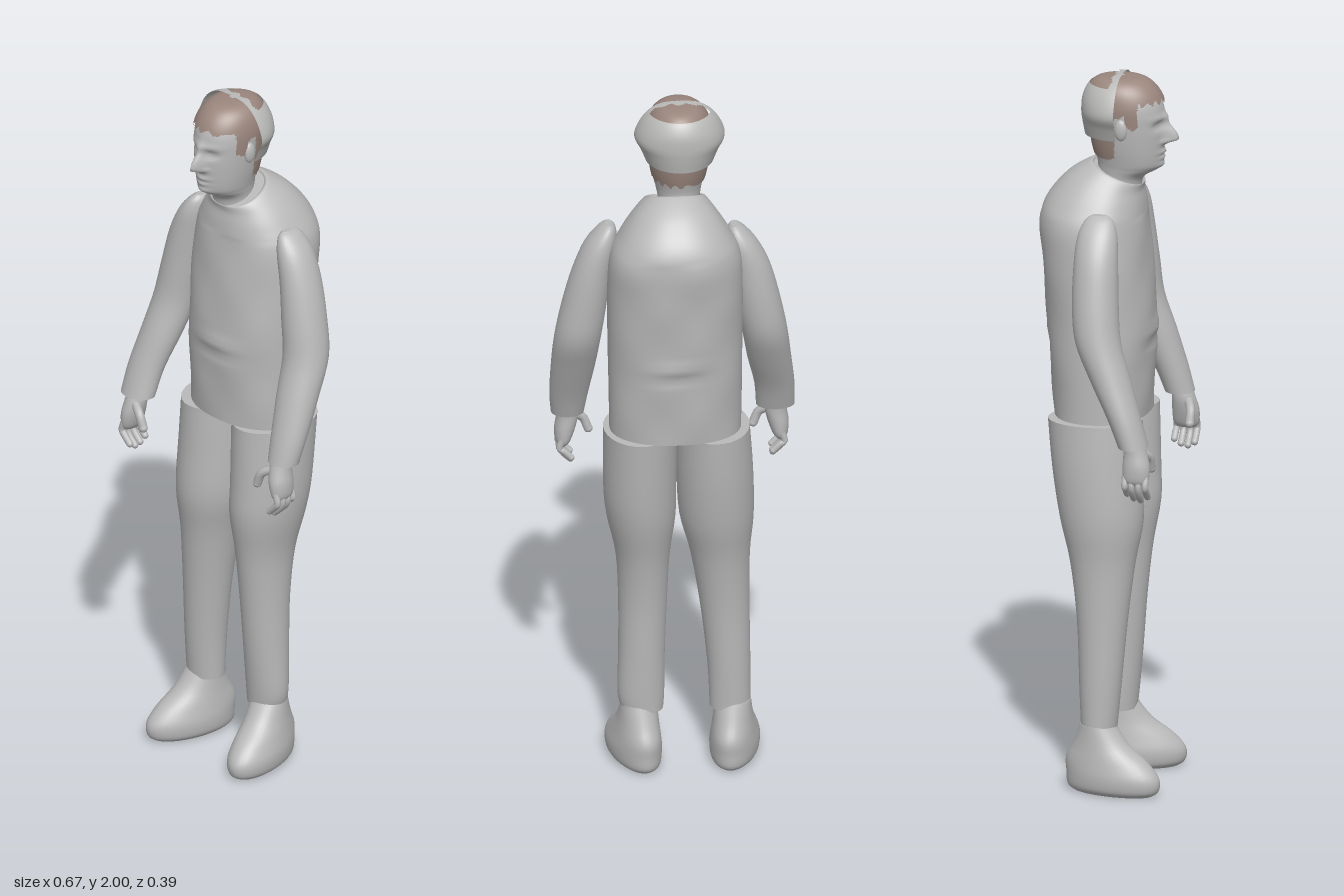
import * as THREE from 'three';
import { mergeGeometries } from 'three/addons/utils/BufferGeometryUtils.js';

const mat = (name, color, side = THREE.FrontSide) => {
  const m = new THREE.MeshStandardMaterial({ color, side });
  m.name = name;
  return m;
};

// Smooth value of ring column k at position t along the rings
function spline(rings, t, k) {
  const n = rings.length - 1, i = Math.min(Math.floor(t), n - 1), f = t - i;
  const g = (q) => rings[Math.max(0, Math.min(n, q))][k] || 0;
  const p0 = g(i - 1), p1 = g(i), p2 = g(i + 1), p3 = g(i + 2);
  return p1 + 0.5 * f * (p2 - p0 + f * (2 * p0 - 5 * p1 + 4 * p2 - p3 + f * (3 * (p1 - p2) + p3 - p0)));
}

// Skin over horizontal rings, bottom to top: [x, y, z, radiusX, radiusZ, forwardTilt]
function loft(rings, { seg = 32, sub = 4, from = 0, arc = Math.PI * 2, pow = 1, rule, keep, caps = true } = {}) {
  const closed = arc > 6.28, cols = closed ? seg : seg + 1, rows = (rings.length - 1) * sub;
  const pos = [], idx = [];
  const soft = (v) => Math.sign(v) * Math.abs(v) ** pow;
  for (let i = 0; i <= rows; i++) {
    const [x, y, z, rx, rz, tilt] = [0, 1, 2, 3, 4, 5].map((k) => spline(rings, i / sub, k));
    for (let j = 0; j < cols; j++) {
      const a = from + (arc * j) / seg, s = soft(Math.sin(a)), c = soft(Math.cos(a));
      const p = new THREE.Vector3(x + rx * s, y + tilt * c, z + rz * c);
      if (rule) rule(p);
      pos.push(p.x, p.y, p.z);
    }
  }
  const at = (v) => new THREE.Vector3(pos[v * 3], pos[v * 3 + 1], pos[v * 3 + 2]);
  const tri = (a, b, c) => {
    if (!keep || keep(at(a).add(at(b)).add(at(c)).divideScalar(3))) idx.push(a, b, c);
  };
  for (let i = 0; i < rows; i++) {
    for (let j = 0; j < seg; j++) {
      const a = i * cols + j, b = i * cols + ((j + 1) % cols);
      tri(a, b, b + cols);
      tri(a, b + cols, a + cols);
    }
  }
  // Flat ends with their own vertices, so the rim stays sharp
  if (caps && closed) {
    for (const row of [0, rows]) {
      const base = pos.length / 3, mid = new THREE.Vector3();
      for (let j = 0; j < seg; j++) {
        const p = at(row * cols + j);
        mid.addScaledVector(p, 1 / seg);
        pos.push(p.x, p.y, p.z);
      }
      pos.push(mid.x, mid.y, mid.z);
      for (let j = 0; j < seg; j++) {
        const a = base + j, b = base + ((j + 1) % seg);
        row ? idx.push(a, b, base + seg) : idx.push(b, a, base + seg);
      }
    }
  }
  const g = new THREE.BufferGeometry();
  g.setAttribute('position', new THREE.Float32BufferAttribute(pos, 3));
  g.setIndex(idx);
  g.computeVertexNormals();
  return g;
}

const ball = (x, y, z, rx, ry, rz) => new THREE.SphereGeometry(1, 24, 16).scale(rx, ry, rz).translate(x, y, z);

// Round-ended finger along a few points
function finger(points, r) {
  const pts = points.map((p) => new THREE.Vector3(...p)), end = pts[pts.length - 1];
  return mergeGeometries([
    new THREE.TubeGeometry(new THREE.CatmullRomCurve3(pts), 10, r, 10),
    ball(end.x, end.y, end.z, r, r, r),
  ]);
}

// Soft bump used to shape the face and the cloth
const bump = (u, v, w, h) => Math.exp(-((u / w) ** 2) - (v / h) ** 2);

export function createModel() {
  const model = new THREE.Group();
  model.name = 'standingMan';
  const grey = mat('plain grey', 0xb9b9b9);
  const greyShell = mat('grey shell', 0xb9b9b8, THREE.DoubleSide);
  const brown = mat('hair brown', 0x9a867d, THREE.DoubleSide);
  const add = (name, geometry, material = grey, parent = model) => {
    const m = new THREE.Mesh(geometry, material);
    m.name = name;
    parent.add(m);
    return m;
  };

  // Shirt body with a few cloth folds
  add('torso', loft([
    [0.002, 1.04, -0.02, 0.18, 0.13], [0.002, 1.16, -0.022, 0.182, 0.138],
    [0.003, 1.3, -0.025, 0.184, 0.146], [0.004, 1.48, -0.038, 0.185, 0.147],
    [0.004, 1.58, -0.046, 0.178, 0.146], [0.004, 1.64, -0.04, 0.15, 0.135, -0.005],
    [0.003, 1.69, -0.015, 0.115, 0.105, -0.02], [0, 1.72, 0.018, 0.082, 0.075, -0.03],
    [-0.002, 1.715, 0.02, 0.07, 0.065, -0.03],
  ], {
    seg: 72, sub: 8, pow: 0.9,
    rule: (p) => {
      const out = Math.sign(p.z + 0.03), fade = p.y < 1.6 ? 1 : 0;
      p.z += out * fade * (0.008 * bump(p.x - 0.01, p.y - 1.275, 0.07, 0.014) - 0.006 * bump(p.x - 0.01, p.y - 1.245, 0.07, 0.012)
        + 0.002 * Math.sin(p.x * 32) * Math.sin(p.y * 27));
    },
  }));

  // Trouser legs
  add('rightLeg', loft([
    [-0.15, 0.17, 0.002, 0.056, 0.049], [-0.147, 0.3, 0.005, 0.059, 0.058],
    [-0.136, 0.48, 0.008, 0.068, 0.07], [-0.123, 0.64, 0.006, 0.082, 0.09],
    [-0.113, 0.76, 0.001, 0.102, 0.115], [-0.107, 0.9, -0.012, 0.105, 0.125],
    [-0.102, 1.04, -0.02, 0.1, 0.131],
  ]));
  add('leftLeg', loft([
    [0.09, 0.17, 0.002, 0.057, 0.049], [0.094, 0.22, 0.003, 0.064, 0.053], [0.092, 0.35, 0.006, 0.064, 0.062],
    [0.089, 0.5, 0.008, 0.067, 0.072], [0.089, 0.64, 0.006, 0.074, 0.09],
    [0.094, 0.76, 0.001, 0.094, 0.115], [0.098, 0.86, -0.008, 0.1, 0.123],
    [0.098, 1.04, -0.02, 0.101, 0.131],
  ]));

  // Shoes, toes turned slightly out
  for (const [name, x, yaw] of [['rightShoe', -0.157, -0.2], ['leftShoe', 0.1, 0.26]]) {
    const shoe = add(name, loft([
      [0, 0, 0.045, 0.05, 0.115], [0, 0.015, 0.046, 0.064, 0.134], [0, 0.05, 0.045, 0.068, 0.136],
      [0, 0.09, 0.028, 0.062, 0.12], [0, 0.135, 0.01, 0.055, 0.08], [0, 0.19, 0, 0.05, 0.047],
    ]));
    shoe.position.x = x;
    shoe.rotation.y = yaw;
  }

  // Sleeves
  add('leftArm', loft([
    [0.286, 1.02, 0.125, 0.045, 0.041], [0.284, 1.09, 0.102, 0.053, 0.046],
    [0.275, 1.2, 0.06, 0.061, 0.056], [0.266, 1.3, 0.022, 0.064, 0.063],
    [0.25, 1.4, 0.012, 0.062, 0.064], [0.229, 1.51, 0.006, 0.054, 0.061],
    [0.206, 1.59, 0.005, 0.044, 0.055], [0.188, 1.635, 0.006, 0.026, 0.04], [0.182, 1.65, 0.006, 0.01, 0.022],
  ]));
  add('rightArm', loft([
    [-0.284, 1.02, 0.13, 0.053, 0.041], [-0.279, 1.1, 0.102, 0.055, 0.046],
    [-0.262, 1.2, 0.06, 0.06, 0.056], [-0.247, 1.3, 0.022, 0.062, 0.063],
    [-0.228, 1.4, 0.01, 0.062, 0.064], [-0.205, 1.51, 0.006, 0.056, 0.061],
    [-0.183, 1.58, 0.005, 0.044, 0.055], [-0.168, 1.62, 0.006, 0.026, 0.04], [-0.162, 1.635, 0.006, 0.01, 0.022],
  ]));

  // Hands: palm, four curled fingers and a thumb
  for (const [side, s] of [['left', 1], ['right', -1]]) {
    const hand = new THREE.Group();
    hand.name = side + 'Hand';
    model.add(hand);
    add('palm', loft([
      [s * 0.298, 0.915, 0.14, 0.012, 0.026], [s * 0.297, 0.93, 0.14, 0.022, 0.036],
      [s * 0.292, 0.965, 0.14, 0.029, 0.038], [s * 0.286, 1.0, 0.136, 0.03, 0.033],
      [s * 0.286, 1.03, 0.13, 0.028, 0.028],
    ], { seg: 20 }), grey, hand);
    for (let i = 0; i < 4; i++) {
      const z = 0.111 + i * 0.019, low = 0.872 + [0.012, 0, -0.004, 0.006][i];
      add('finger', finger([[s * 0.3, 0.94, z], [s * 0.308, 0.91, z], [s * 0.298, low + 0.02, z], [s * 0.277, low, z]], 0.0095), grey, hand);
    }
    add('thumb', finger([[s * 0.275, 1.0, 0.15], [s * 0.242, 0.98, 0.165], [s * 0.226, 0.945, 0.166]], 0.0125), grey, hand);
  }

  // Head, with the features raised by a rule
  const hx = -0.012;
  const skull = (grow) => [
    [hx, 1.64, 0.025, 0.058, 0.06], [hx, 1.705, 0.032, 0.057, 0.06], [hx, 1.735, 0.05, 0.062, 0.082],
    [hx, 1.755, 0.056, 0.067, 0.09], [hx, 1.8, 0.053, 0.076, 0.098], [hx, 1.86, 0.049, 0.083, 0.103],
    [hx, 1.915, 0.043, 0.084, 0.105], [hx, 1.958, 0.036, 0.072, 0.09],
    [hx, 1.984, 0.032, 0.045, 0.058], [hx, 1.99, 0.03, 0.004, 0.005],
  ].map(([x, y, z, a, b]) => [x, y + grow * 0.8, z, a + grow, b + grow]);
  const face = (p) => {
    if (p.z < 0.06) return;
    const u = p.x - hx, y = p.y;
    const nose = y > 1.822 ? bump(u, y - 1.822, 0.013, 0.045) : bump(u, y - 1.822, 0.017, 0.011);
    p.z += 0.042 * nose
      + 0.007 * bump(u, y - 1.785, 0.024, 0.007) + 0.006 * bump(u, y - 1.77, 0.02, 0.006)
      - 0.005 * bump(u, y - 1.778, 0.026, 0.003) + 0.008 * bump(u, y - 1.748, 0.024, 0.012)
      + 0.006 * bump(u, y - 1.885, 0.05, 0.01);
    for (const s of [-1, 1]) {
      p.z -= 0.011 * bump(u - s * 0.031, y - 1.863, 0.017, 0.011);
      p.z += 0.005 * bump(u - s * 0.031, y - 1.863, 0.01, 0.005);
    }
  };
  add('head', loft(skull(0), { seg: 96, sub: 10, rule: face }));
  for (const s of [-1, 1]) add('ear', ball(hx + s * 0.086, 1.86, 0.05, 0.011, 0.03, 0.018).rotateY(0));

  // Brown hair: fringe line in front, sideburns, nape behind
  add('hair', loft(skull(0.006), {
    seg: 96, sub: 10, caps: false,
    keep: (p) => {
      const rag = 0.006 * Math.sin(p.x * 190 + p.z * 130);
      const line = p.z > 0.095 ? 1.93 : p.z > 0.06 ? 1.865 : p.z > 0.03 ? 1.9 : 1.775;
      return p.y > line + rag;
    },
  }), brown);

  // Half shell wrapped round the back of the head, open over the crown
  add('backShell', loft([
    [-0.014, 1.83, 0.038, 0.094, 0.106], [-0.014, 1.865, 0.038, 0.108, 0.112], [-0.014, 1.9, 0.038, 0.124, 0.115],
    [-0.014, 1.94, 0.038, 0.112, 0.111], [-0.014, 1.975, 0.038, 0.086, 0.092],
    [-0.014, 1.995, 0.038, 0.05, 0.058], [-0.014, 2.0, 0.038, 0.002, 0.002],
  ], {
    seg: 48, sub: 6, from: Math.PI / 2, arc: Math.PI,
    keep: (p) => p.y < 1.975 || p.z > 0.018 + 0.004 * Math.sin(p.x * 150),
  }), greyShell);

  return model;
}
